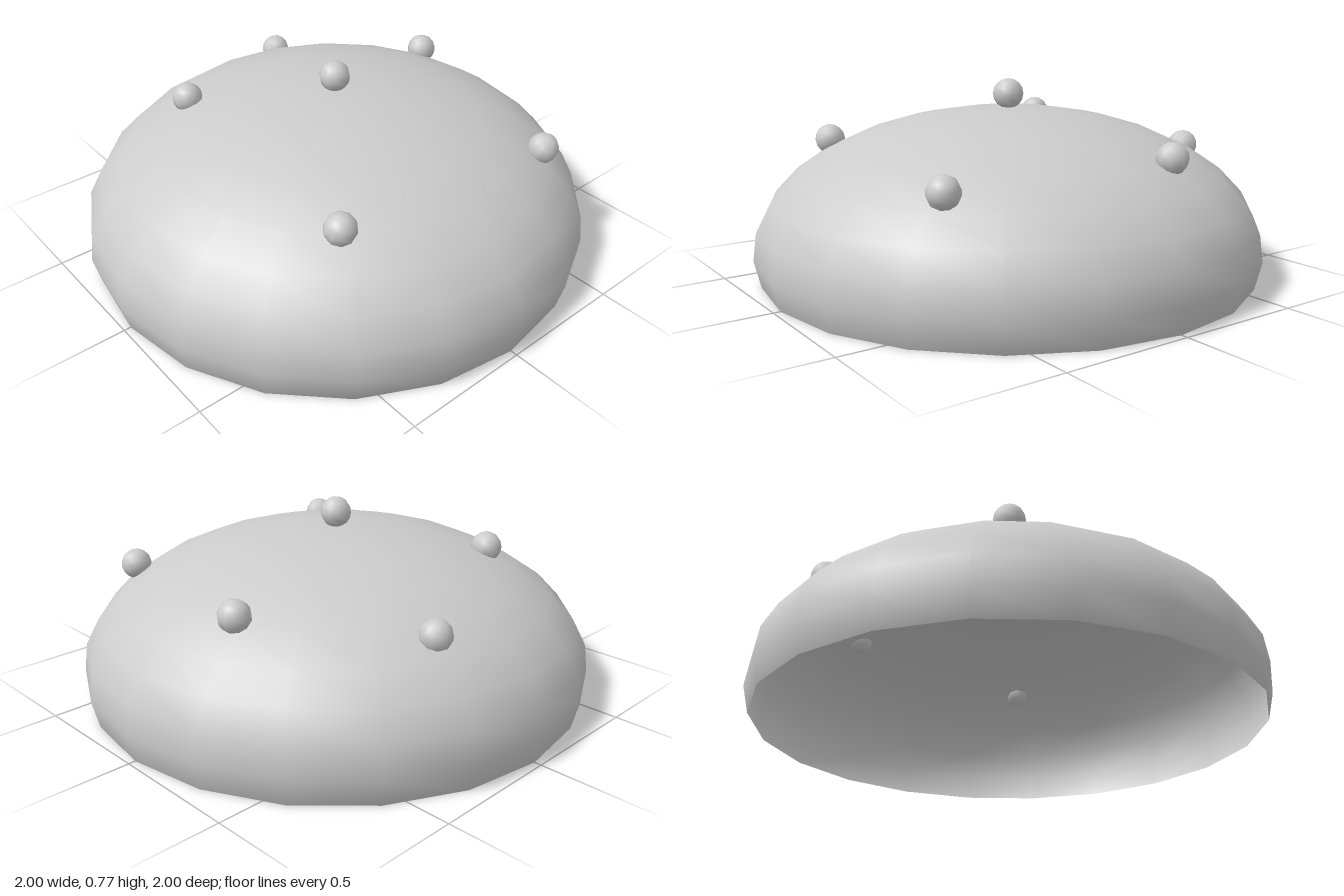
import * as THREE from 'three';

export function createModel() {
  const group = new THREE.Group();
  const shellMat = new THREE.MeshStandardMaterial({ color: 0xcccccc, side: THREE.DoubleSide });
  const knobMat = new THREE.MeshStandardMaterial({ color: 0xcccccc });

  // Open squashed dome whose rim curls in slightly below its widest ring
  const theta = 1.8, height = 0.655;
  const squash = height / (1 - Math.cos(theta));
  const centreY = height - squash;
  const domeGeo = new THREE.SphereGeometry(1, 20, 9, 0, Math.PI * 2, 0, theta);
  domeGeo.scale(1, squash, 1);
  const dome = new THREE.Mesh(domeGeo, shellMat);
  dome.name = 'dome';
  dome.position.y = centreY;
  group.add(dome);

  // Small round knobs scattered on the dome, each tilted along the surface normal
  const knobGeo = new THREE.SphereGeometry(0.06, 10, 8);
  const spots = [
    [0, 0.706, 0], [-0.43, 0.572, 0.4], [0.56, 0.519, 0.445],
    [0.62, 0.47, -0.52], [-0.22, 0.52, -0.69], [-0.72, 0.47, -0.25],
  ];
  const up = new THREE.Vector3(0, 1, 0);
  spots.forEach(([x, y, z], i) => {
    const knob = new THREE.Mesh(knobGeo, knobMat);
    knob.name = `knob${i + 1}`;
    knob.position.set(x, y, z);
    const normal = new THREE.Vector3(x, (y - centreY) / squash ** 2, z).normalize();
    knob.quaternion.setFromUnitVectors(up, normal);
    group.add(knob);
  });
  return group;
}
